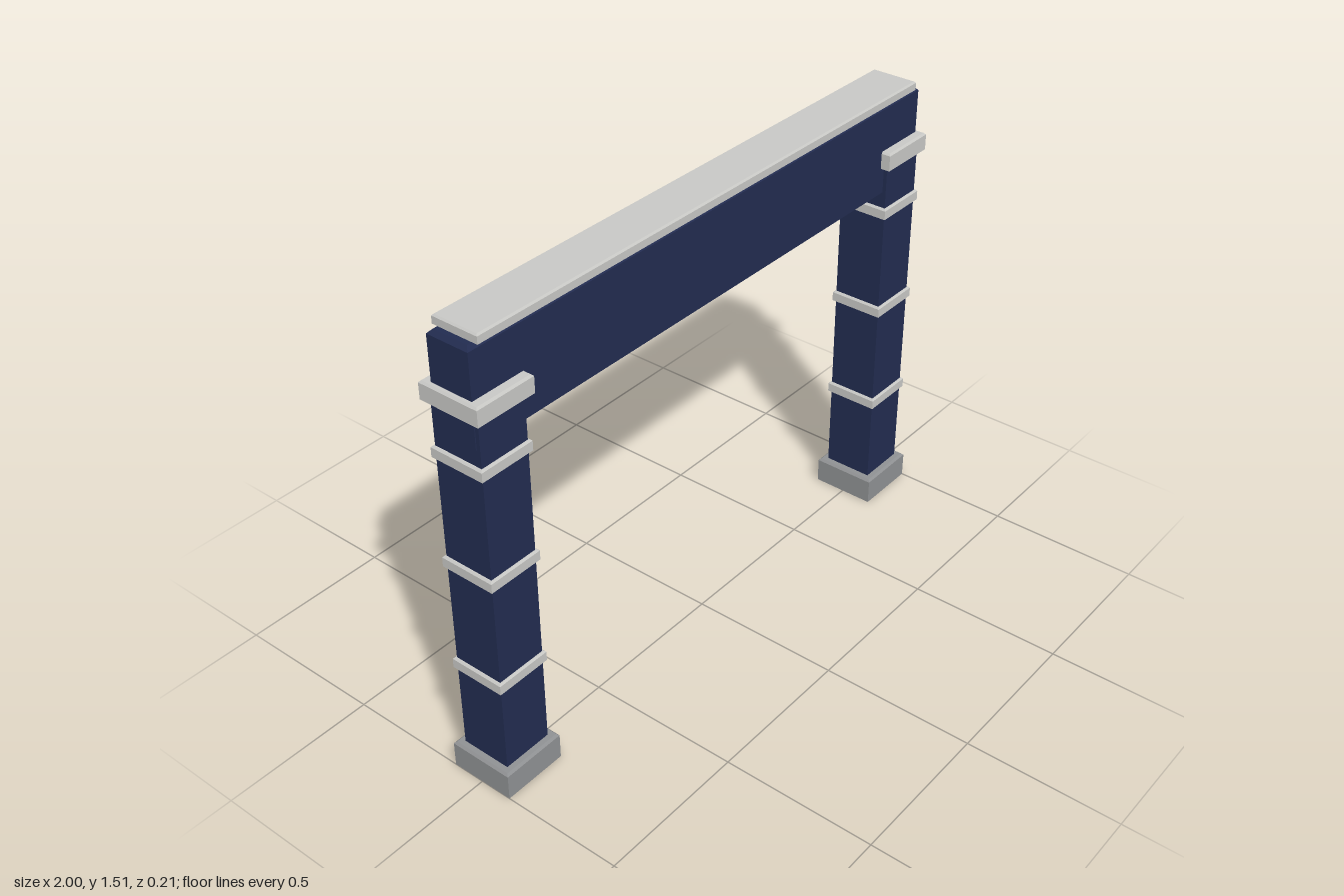
import * as THREE from 'three';

// Box standing on y = 0 whose top edges are chamfered by b
function chamferedBox(w, h, d, b) {
  const box = new THREE.BoxGeometry(w, h, d, 1, 2, 1);
  const p = box.attributes.position;
  for (let i = 0; i < p.count; i++) {
    const y = p.getY(i);
    if (y > h / 4) {
      p.setX(i, p.getX(i) - Math.sign(p.getX(i)) * b);
      p.setZ(i, p.getZ(i) - Math.sign(p.getZ(i)) * b);
    } else if (y > -h / 4) {
      p.setY(i, h / 2 - b);
    }
  }
  const geometry = box.toNonIndexed();
  geometry.translate(0, h / 2, 0);
  geometry.computeVertexNormals();
  return geometry;
}

export function createModel() {
  const navy = new THREE.MeshStandardMaterial({ name: 'navy', color: 0x222c50 });
  const paleGrey = new THREE.MeshStandardMaterial({ name: 'pale grey', color: 0xc8c8c5 });
  const stoneGrey = new THREE.MeshStandardMaterial({ name: 'stone grey', color: 0x8f9193 });

  const gate = new THREE.Group();
  gate.name = 'gate';

  function addBlock(parent, name, material, [w, h, d], y, bevel, x = 0) {
    const mesh = new THREE.Mesh(chamferedBox(w, h, d, bevel), material);
    mesh.name = name;
    mesh.position.set(x, y, 0);
    parent.add(mesh);
  }

  // Two matching pillars
  for (const side of [-1, 1]) {
    const pillar = new THREE.Group();
    pillar.name = side > 0 ? 'leftPillar' : 'rightPillar';
    pillar.position.x = side * 0.893;
    addBlock(pillar, 'base', stoneGrey, [0.214, 0.09, 0.214], 0, 0.007);
    addBlock(pillar, 'column', navy, [0.166, 1.185, 0.166], 0.088, 0.006);
    for (const y of [0.375, 0.734, 1.092]) {
      addBlock(pillar, 'band', paleGrey, [0.184, 0.035, 0.182], y, 0.005);
    }
    addBlock(pillar, 'cap', paleGrey, [0.202, 0.057, 0.204], 1.268, 0.006);
    gate.add(pillar);
  }

  // Crossbeam and its coping
  addBlock(gate, 'beam', navy, [1.958, 0.298, 0.142], 1.18, 0.012);
  addBlock(gate, 'coping', paleGrey, [1.902, 0.028, 0.156], 1.478, 0.005);

  return gate;
}
